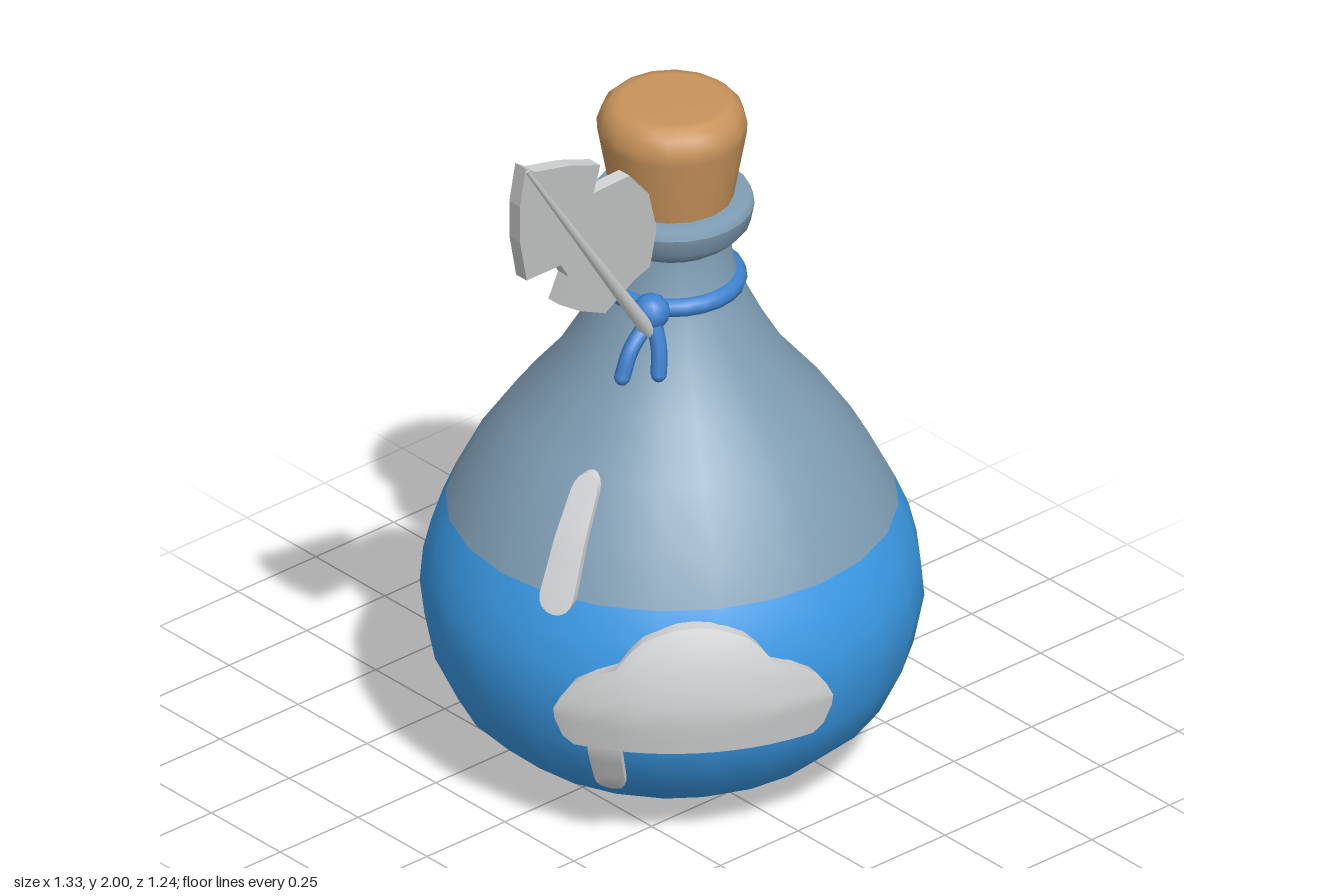
import * as THREE from 'three';

const CX = 0.055, CZ = -0.02; // bottle axis
const FILL = 0.68;            // liquid level
const V = (x, y, z) => new THREE.Vector3(x, y, z);

const paint = (name, color) => {
  const m = new THREE.MeshStandardMaterial({ color });
  m.name = name;
  return m;
};

// bottle profile [radius, height], base to neck
const PROFILE = [
  [0, 0], [0.19, 0.004], [0.31, 0.022], [0.425, 0.09], [0.525, 0.18], [0.582, 0.3],
  [0.608, 0.43], [0.6, 0.52], [0.58, 0.6], [0.546, FILL], [0.48, 0.81], [0.39, 0.94],
  [0.29, 1.06], [0.225, 1.17], [0.18, 1.26], [0.15, 1.34], [0.14, 1.42],
];

function radiusAt(y) {
  const i = Math.max(1, PROFILE.findIndex(p => p[1] >= y));
  const [r0, y0] = PROFILE[i - 1], [r1, y1] = PROFILE[i];
  return r0 + (r1 - r0) * (y - y0) / (y1 - y0);
}

const lathe = (pts, n) => new THREE.LatheGeometry(pts.map(p => new THREE.Vector2(p[0], p[1])), n);

// keep only the triangles above or below the fill line, sharing smooth normals
function splitAtFill(geo, below) {
  const out = geo.clone(), pos = geo.attributes.position, src = geo.index.array, idx = [];
  for (let i = 0; i < src.length; i += 3) {
    const tri = [src[i], src[i + 1], src[i + 2]];
    const mid = tri.reduce((s, k) => s + pos.getY(k) / 3, 0);
    if ((mid < FILL) === below) idx.push(...tri);
  }
  out.setIndex(idx);
  return out;
}

// raised patch wrapped on the bottle; columns are [angle, low y, high y]
function wrappedPatch(cols, thick, rows = 8) {
  const pos = [], idx = [], n = cols.length;
  const at = (c, r, t) => {
    const [a, lo, hi] = cols[c];
    const y = lo + (hi - lo) * r / rows, R = radiusAt(y) + t;
    return [Math.sin(a) * R, y, Math.cos(a) * R];
  };
  for (let c = 0; c < n; c++) for (let r = 0; r <= rows; r++) pos.push(...at(c, r, thick));
  for (let c = 0; c < n - 1; c++) for (let r = 0; r < rows; r++) {
    const a = c * (rows + 1) + r, b = a + rows + 1;
    idx.push(a, b, b + 1, a, b + 1, a + 1);
  }
  // rim around the outline
  const loop = [];
  for (let c = 0; c < n; c++) loop.push([c, 0]);
  for (let r = 1; r <= rows; r++) loop.push([n - 1, r]);
  for (let c = n - 2; c >= 0; c--) loop.push([c, rows]);
  for (let r = rows - 1; r > 0; r--) loop.push([0, r]);
  const base = pos.length / 3, L = loop.length;
  for (const [c, r] of loop) pos.push(...at(c, r, -0.015), ...at(c, r, thick));
  for (let i = 0; i < L; i++) {
    const p = base + i * 2, q = base + ((i + 1) % L) * 2;
    idx.push(p, q, q + 1, p, q + 1, p + 1);
  }
  const g = new THREE.BufferGeometry();
  g.setAttribute('position', new THREE.Float32BufferAttribute(pos, 3));
  g.setIndex(idx);
  g.computeVertexNormals();
  return g;
}

// capsule-shaped patch running up the bottle
function dropPatch(angle, y0, y1, half, thick) {
  const cols = [], da = half / radiusAt((y0 + y1) / 2);
  for (let i = 0; i <= 8; i++) {
    const u = -Math.cos(Math.PI * i / 8), end = half * (1 - Math.sqrt(Math.max(0, 1 - u * u)));
    cols.push([angle + u * da, y0 + end, y1 - end]);
  }
  return wrappedPatch(cols, thick, 10);
}

// move a y-aligned mesh so that it spans a to b
function span(mesh, a, b) {
  mesh.position.copy(a).add(b).multiplyScalar(0.5);
  mesh.quaternion.setFromUnitVectors(V(0, 1, 0), b.clone().sub(a).normalize());
  return mesh;
}

export function createModel() {
  const glass = paint('glass', 0x7f9db4), liquid = paint('liquid', 0x3a9ae6);
  const cork = paint('cork', 0xc8935b), cord = paint('cord', 0x3f82d0), pale = paint('pale', 0xd3d4d5);

  const model = new THREE.Group();
  model.name = 'potionBottle';
  const bottle = new THREE.Group();
  bottle.name = 'bottle';
  bottle.position.set(CX, 0, CZ);
  model.add(bottle);
  const add = (parent, name, geo, mat) => {
    const m = new THREE.Mesh(geo, mat);
    m.name = name;
    parent.add(m);
    return m;
  };

  // body
  const body = lathe(PROFILE, 24);
  add(bottle, 'liquidBody', splitAtFill(body, true), liquid);
  add(bottle, 'glassBody', splitAtFill(body, false), glass);

  // lip and stopper
  add(bottle, 'lip', lathe([[0.135, 1.41], [0.163, 1.43], [0.19, 1.46], [0.199, 1.505]], 24), glass);
  add(bottle, 'lipTop', lathe([[0.199, 1.505], [0.192, 1.528], [0.1, 1.528]], 24), glass);
  add(bottle, 'stopper', lathe([[0.145, 1.5], [0.151, 1.54], [0.18, 1.7], [0.182, 1.73],
    [0.17, 1.765], [0.148, 1.785], [0.125, 1.788], [0, 1.788]], 16), cork);

  // cord, knot and its two tails
  const ring = add(bottle, 'cordRing', new THREE.TorusGeometry(0.157, 0.025, 10, 24), cord);
  ring.rotation.x = Math.PI / 2;
  ring.position.y = 1.3;
  add(model, 'knot', new THREE.SphereGeometry(0.046, 12, 8), cord).position.set(-0.105, 1.305, 0.085);
  const tails = [
    [V(-0.115, 1.29, 0.09), V(-0.18, 1.23, 0.095), V(-0.207, 1.165, 0.095)],
    [V(-0.11, 1.29, 0.1), V(-0.115, 1.22, 0.125), V(-0.125, 1.16, 0.135)],
  ];
  for (const pts of tails) {
    add(model, 'cordTail', new THREE.TubeGeometry(new THREE.CatmullRomCurve3(pts), 8, 0.02, 8), cord);
    add(model, 'cordTailEnd', new THREE.SphereGeometry(0.02, 8, 6), cord).position.copy(pts[2]);
  }

  // feather vane: flat outline leaning forward
  const vane = new THREE.Shape([
    [-0.67, 2.0], [-0.665, 1.88], [-0.64, 1.76], [-0.59, 1.62], [-0.48, 1.62], [-0.445, 1.57],
    [-0.46, 1.49], [-0.38, 1.435], [-0.29, 1.39], [-0.21, 1.46], [-0.165, 1.48], [-0.168, 1.6],
    [-0.22, 1.73], [-0.3, 1.82], [-0.415, 1.815], [-0.41, 1.9], [-0.52, 1.945], [-0.635, 1.975],
  ].map(p => new THREE.Vector2(p[0], p[1])));
  const lean = y => 0.09 + 0.23 * (y - 1.39);
  const vaneGeo = new THREE.ExtrudeGeometry(vane, { depth: 0.038, bevelEnabled: false });
  const vp = vaneGeo.attributes.position;
  for (let i = 0; i < vp.count; i++) vp.setZ(i, vp.getZ(i) + lean(vp.getY(i)));
  vaneGeo.computeVertexNormals();
  add(model, 'featherVane', vaneGeo, pale);

  // feather quill
  const q0 = V(-0.125, 1.265, lean(1.265) + 0.036), q1 = V(-0.664, 1.99, lean(1.99) + 0.036);
  span(add(model, 'featherQuill', new THREE.CylinderGeometry(0.006, 0.02, q0.distanceTo(q1), 8), pale), q0, q1);

  // cloud label and drops on the glass
  const half = [[0, 0.655, 0.325], [0.13, 0.652, 0.325], [0.25, 0.64, 0.325], [0.38, 0.622, 0.325],
    [0.47, 0.595, 0.325], [0.56, 0.552, 0.325], [0.72, 0.532, 0.325], [0.87, 0.5, 0.325],
    [0.95, 0.46, 0.345], [1, 0.425, 0.395]];
  const col = (s) => ([u, hi, lo]) => [-0.63 + s * u * 0.56, lo, hi];
  const cloud = [...half.slice(1).reverse().map(col(-1)), ...half.map(col(1))];
  add(bottle, 'cloudLabel', wrappedPatch(cloud, 0.03), pale);
  add(bottle, 'lowerDrop', dropPatch(-1.0, 0.165, 0.42, 0.04, 0.018), pale);
  add(bottle, 'upperDrop', dropPatch(-1.245, 0.645, 0.95, 0.04, 0.018), pale);

  return model;
}
